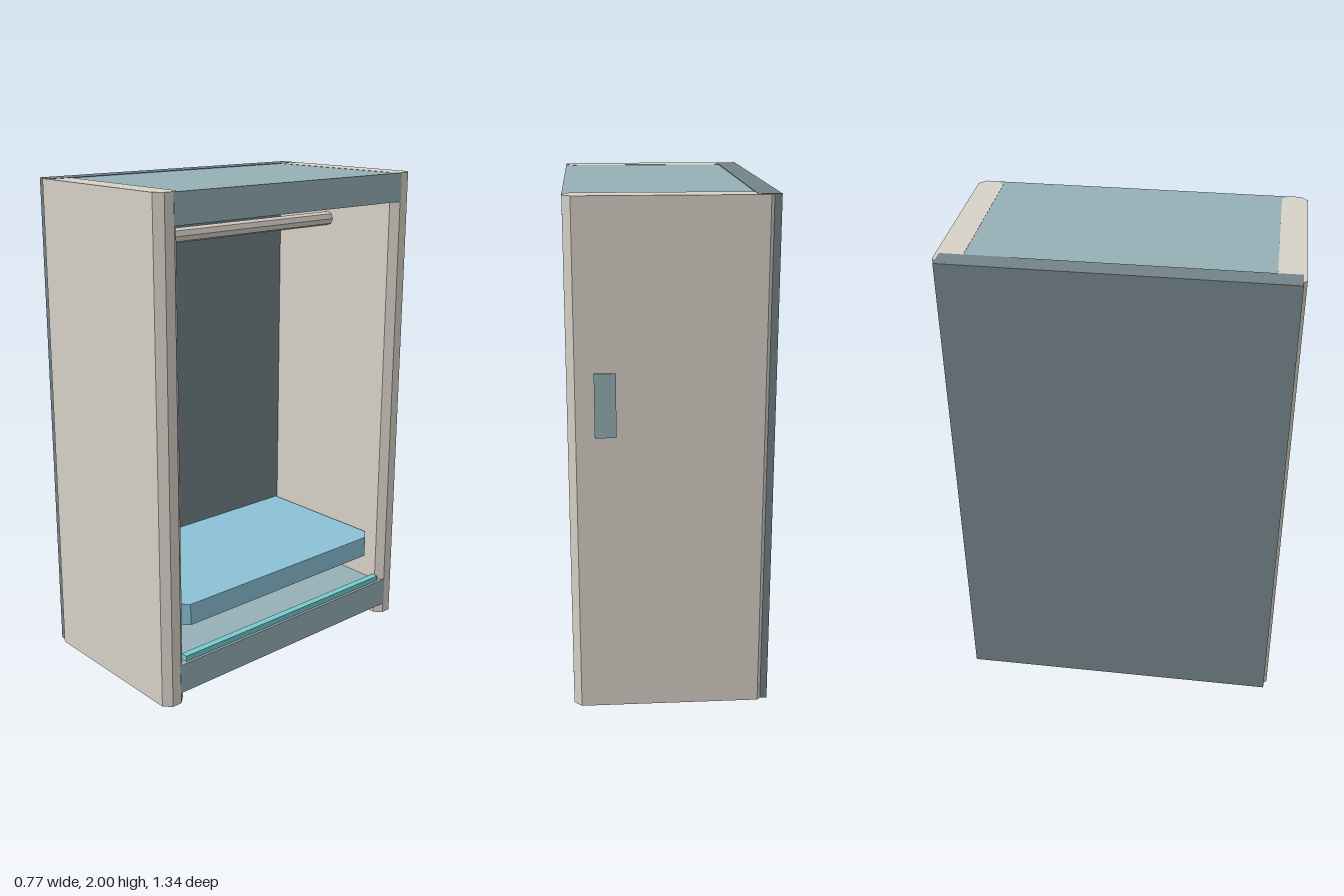
import * as THREE from 'three';

const flat = (name, color) => {
  const m = new THREE.MeshStandardMaterial({ color });
  m.name = name;
  return m;
};

export function createModel() {
  const beige = flat('beige', 0xd8d2c8);
  const slateBlue = flat('slate blue', 0x95b0b7);
  const darkSlate = flat('dark slate', 0x728388);
  const skyBlue = flat('sky blue', 0x8cc1d7);
  const cyan = flat('cyan', 0x74cace);

  const model = new THREE.Group();
  model.name = 'wardrobeBay';

  const add = (name, geometry, material) => {
    const mesh = new THREE.Mesh(geometry, material);
    mesh.name = name;
    model.add(mesh);
    return mesh;
  };

  // Box given by its limits on each axis
  const box = (name, [x0, x1], [y0, y1], [z0, z1], material) =>
    add(name, new THREE.BoxGeometry(x1 - x0, y1 - y0, z1 - z0)
      .translate((x0 + x1) / 2, (y0 + y1) / 2, (z0 + z1) / 2), material);

  // Upright prism over a rectangle with cut corners (front cut, back cut)
  const prism = (name, [x0, x1], [y0, y1], [z0, z1], front, back, material) => {
    const pts = [
      [x0 + back, -z1], [x1 - front, -z1], [x1, -z1 + front], [x1, -z0 - front],
      [x1 - front, -z0], [x0 + back, -z0],
    ];
    if (back > 0) pts.push([x0, -z0 - back], [x0, -z1 + back]);
    const shape = new THREE.Shape(pts.map(([x, y]) => new THREE.Vector2(x, y)));
    const geometry = new THREE.ExtrudeGeometry(shape, { depth: y1 - y0, bevelEnabled: false })
      .rotateX(-Math.PI / 2).translate(0, y0, 0);
    return add(name, geometry, material);
  };

  // Side walls with chamfered upright edges
  prism('leftWall', [-0.375, 0.385], [0, 1.999], [0.565, 0.668], 0.03, 0.03, beige);
  prism('rightWall', [-0.375, 0.385], [0, 1.999], [-0.668, -0.565], 0.03, 0.03, beige);

  // Back, roof and raised base
  box('backPanel', [-0.385, -0.3], [0, 2], [-0.655, 0.655], darkSlate);
  box('roof', [-0.31, 0.386], [1.88, 1.998], [-0.598, 0.598], slateBlue);
  box('base', [-0.31, 0.386], [0.045, 0.167], [-0.598, 0.598], slateBlue);

  // Light strip along the front of the base
  box('lightStrip', [0.345, 0.375], [0.165, 0.19], [-0.56, 0.56], cyan);

  // Seat cushion with cut front corners
  prism('seatCushion', [-0.3, 0.34], [0.295, 0.385], [-0.557, 0.557], 0.05, 0, skyBlue);

  // Hanging rail between the walls
  const rail = new THREE.CylinderGeometry(0.03, 0.03, 1.14, 8).toNonIndexed();
  rail.computeVertexNormals();
  rail.rotateX(Math.PI / 2).translate(0, 1.78, 0);
  add('hangingRail', rail, beige);

  // Thin plate on the outside of the right wall
  box('wallPlate', [0.205, 0.285], [1.12, 1.365], [-0.673, -0.664], slateBlue);

  return model;
}
